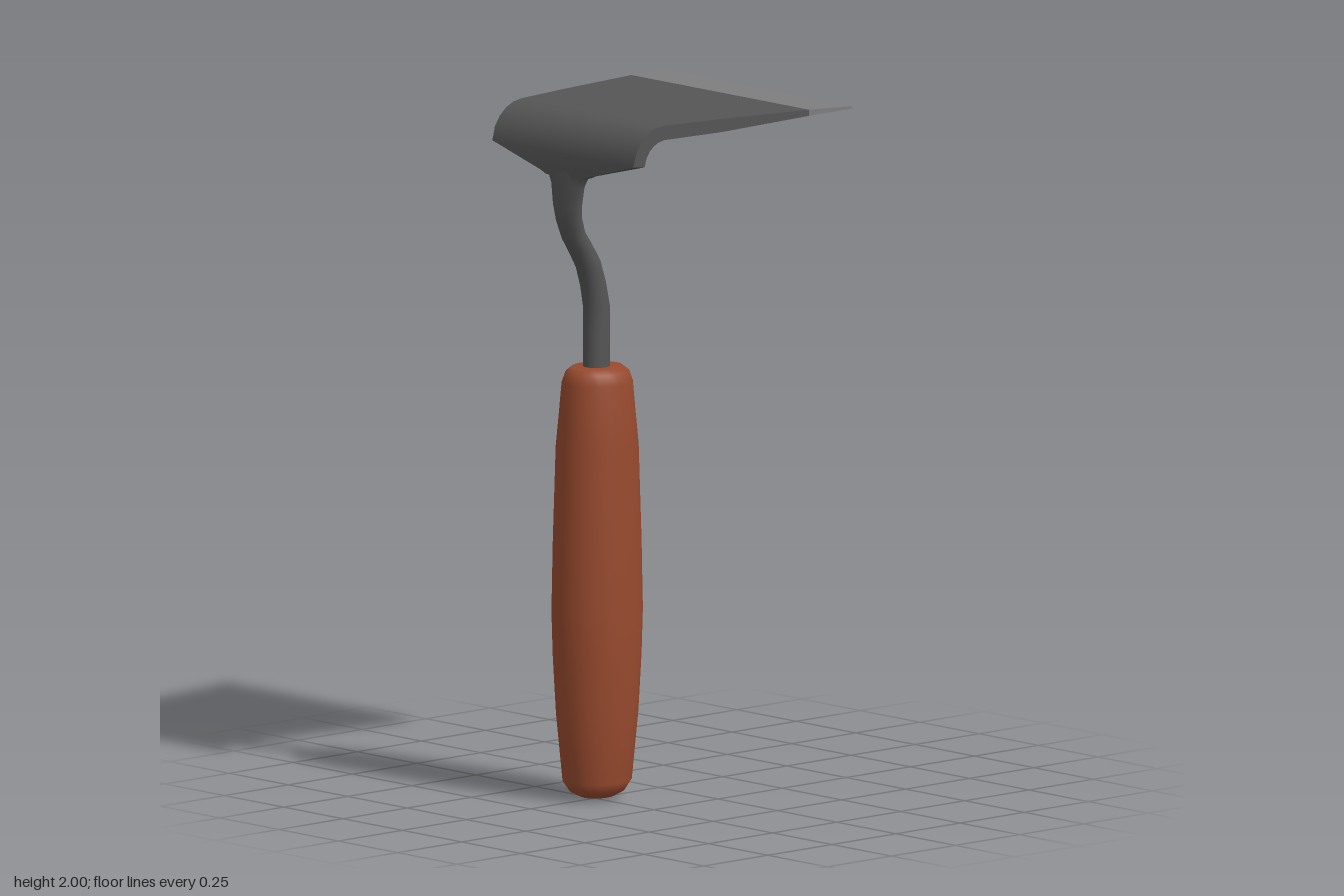
import * as THREE from 'three';
import { toCreasedNormals } from 'three/addons/utils/BufferGeometryUtils.js';

// Cross-sections as unit outlines, counter-clockwise
const SQUARE = [[1, -1], [1, 1], [-1, 1], [-1, -1]];
const ROUND = Array.from({ length: 16 }, (_, i) => {
  const a = (i / 16) * Math.PI * 2;
  return [Math.cos(a), Math.sin(a)];
});

// Sweeps a section along stations [z, y, halfWidth, halfThickness] in the x = 0 plane
function loft(stations, section, crease) {
  const n = section.length, pos = [], index = [];
  stations.forEach(([z, y, w, t], k) => {
    const a = stations[Math.max(k - 1, 0)];
    const b = stations[Math.min(k + 1, stations.length - 1)];
    const len = Math.hypot(b[0] - a[0], b[1] - a[1]);
    const tz = (b[0] - a[0]) / len, ty = (b[1] - a[1]) / len;
    for (const [u, v] of section) pos.push(u * w, y + v * t * tz, z - v * t * ty);
  });
  for (let k = 0; k < stations.length - 1; k++) {
    for (let i = 0; i < n; i++) {
      const a = k * n + i, b = k * n + (i + 1) % n;
      index.push(a, b, b + n, a, b + n, a + n);
    }
  }
  const last = (stations.length - 1) * n;
  for (let i = 1; i < n - 1; i++) {
    index.push(0, i + 1, i, last, last + i, last + i + 1);
  }
  const g = new THREE.BufferGeometry();
  g.setAttribute('position', new THREE.Float32BufferAttribute(pos, 3));
  g.setIndex(index);
  return toCreasedNormals(g, crease);
}

export function createModel() {
  const model = new THREE.Group();
  model.name = 'handHoe';

  const material = (name, color) => {
    const m = new THREE.MeshStandardMaterial({ color });
    m.name = name;
    return m;
  };
  const steel = material('darkSteel', 0x555555);
  const ground = material('groundSteel', 0x7e7e7e);
  const wood = material('redBrownWood', 0x984a2e);

  const add = (name, geometry, mat) => {
    const mesh = new THREE.Mesh(geometry, mat);
    mesh.name = name;
    model.add(mesh);
    return mesh;
  };

  // Turned handle, slightly narrower across x than along z
  const profile = [
    [0, 0.002], [0.05, 0.008], [0.085, 0.025], [0.106, 0.055], [0.126, 0.25],
    [0.136, 0.42], [0.14, 0.55], [0.136, 0.75], [0.127, 1.03], [0.118, 1.12],
    [0.109, 1.215], [0.098, 1.245], [0.078, 1.26], [0, 1.26],
  ].map(([r, y]) => new THREE.Vector2(r, y));
  const handle = add('handle', new THREE.LatheGeometry(profile, 20), wood);
  handle.scale.x = 0.855;
  handle.position.z = 0.24;

  // Bent round stem that flares into the blade
  add('stem', loft([
    [0.243, 1.2, 0.038, 0.04], [0.243, 1.36, 0.038, 0.04],
    [0.242, 1.43, 0.038, 0.039], [0.256, 1.5, 0.038, 0.037],
    [0.275, 1.56, 0.038, 0.036], [0.305, 1.61, 0.038, 0.034],
    [0.332, 1.65, 0.039, 0.032], [0.35, 1.7, 0.046, 0.03],
    [0.356, 1.74, 0.053, 0.029], [0.354, 1.8, 0.064, 0.026],
    [0.352, 1.83, 0.082, 0.024], [0.352, 1.87, 0.13, 0.018],
  ], ROUND, 0.9), steel);

  // Blade: sloped shoulders, rolled bend, then a widening flat plate
  const bevelStart = [-0.24, 1.986, 0.374, 0.009];
  add('blade', loft([
    [0.352, 1.825, 0.07, 0.022], [0.352, 1.835, 0.095, 0.022],
    [0.352, 1.89, 0.297, 0.022], [0.343, 1.922, 0.298, 0.022],
    [0.328, 1.945, 0.298, 0.022], [0.307, 1.963, 0.298, 0.022],
    [0.284, 1.974, 0.298, 0.022], [0.255, 1.979, 0.299, 0.021],
    [0.06, 1.98, 0.329, 0.019], bevelStart,
  ], SQUARE, 0.6), steel);

  // Ground cutting edge
  add('cuttingEdge', loft([bevelStart, [-0.388, 1.986, 0.394, 0.004]], SQUARE, 0.6), ground);

  return model;
}
